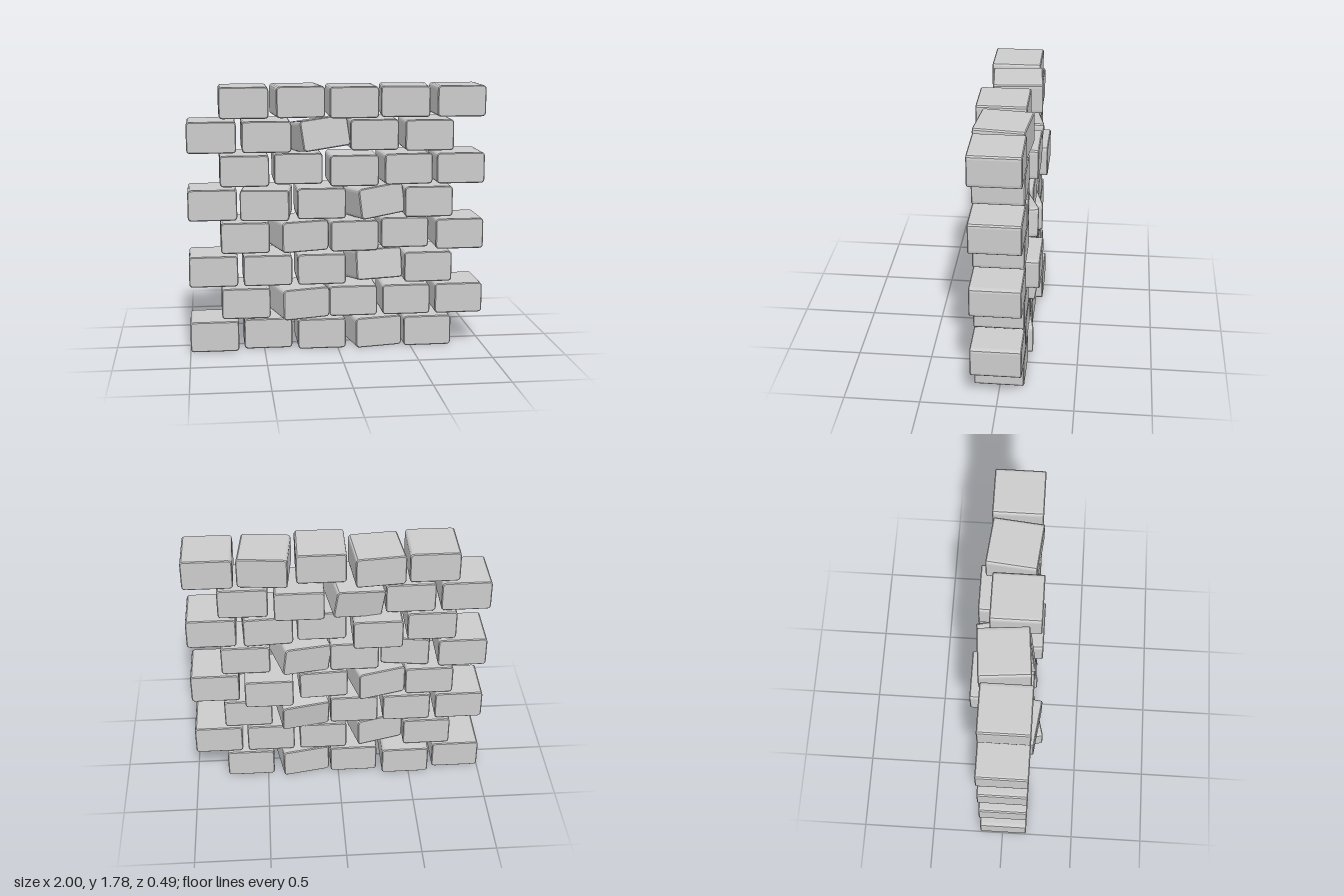
import * as THREE from 'three';

const W = 0.327, H = 0.207, D = 0.33;
const PITCH_X = 0.3635, PITCH_Y = 0.2252;

// Brick: rounded rectangle extruded front to back with a slim edge bevel
function brickGeometry() {
  const b = 0.006, r = 0.02, w = W / 2 - b, h = H / 2 - b;
  const s = new THREE.Shape();
  s.moveTo(-w + r, -h);
  s.lineTo(w - r, -h);
  s.quadraticCurveTo(w, -h, w, -h + r);
  s.lineTo(w, h - r);
  s.quadraticCurveTo(w, h, w - r, h);
  s.lineTo(-w + r, h);
  s.quadraticCurveTo(-w, h, -w, h - r);
  s.lineTo(-w, -h + r);
  s.quadraticCurveTo(-w, -h, -w + r, -h);
  const g = new THREE.ExtrudeGeometry(s, {
    depth: D - 2 * b, curveSegments: 3,
    bevelEnabled: true, bevelThickness: b, bevelSize: b, bevelSegments: 1,
  });
  g.translate(0, 0, -D / 2 + b);
  return g;
}

// Loose bricks, keyed "row,column": z offset, turn (y), tilt (x), roll (z)
const loose = {
  '0,1': { z: -0.04 },
  '0,3': { z: 0, turn: 0.18 },
  '1,1': { z: 0.05, turn: 0.26 },
  '2,3': { z: -0.02, turn: 0.2, tilt: -0.15 },
  '3,1': { z: -0.01, turn: 0.26 },
  '3,2': { z: 0.005, turn: 0.05 },
  '3,3': { z: -0.08 },
  '4,1': { z: 0.045, turn: -0.13 },
  '4,3': { z: -0.01, turn: 0.3, tilt: -0.05, roll: 0.11 },
  '5,1': { z: -0.075 },
  '5,2': { z: 0.05 },
  '5,3': { z: 0.005, turn: 0.06 },
  '6,2': { z: -0.02, turn: 0.18, tilt: -0.12, roll: 0.12 },
  '6,3': { z: -0.05 },
  '7,1': { z: -0.025, turn: 0.09 },
  '7,2': { z: 0.035 },
  '7,3': { z: 0, turn: -0.1 },
};

export function createModel() {
  const wall = new THREE.Group();
  wall.name = 'brickWall';
  const geometry = brickGeometry();
  const material = new THREE.MeshStandardMaterial({ color: 0xcccccc, flatShading: true });

  // Eight courses of five bricks in a running bond
  for (let row = 0; row < 8; row++) {
    const course = new THREE.Group();
    course.name = `course${row + 1}`;
    const startX = row % 2 ? -0.621 : -0.836;
    for (let col = 0; col < 5; col++) {
      const { z = 0.005, turn = 0, tilt = 0, roll = 0 } = loose[`${row},${col}`] ?? {};
      const brick = new THREE.Mesh(geometry, material);
      brick.name = `brick${col + 1}`;
      brick.position.set(startX + col * PITCH_X, H / 2 + row * PITCH_Y, z);
      brick.rotation.set(tilt, turn, roll, 'YXZ');
      course.add(brick);
    }
    wall.add(course);
  }
  return wall;
}
